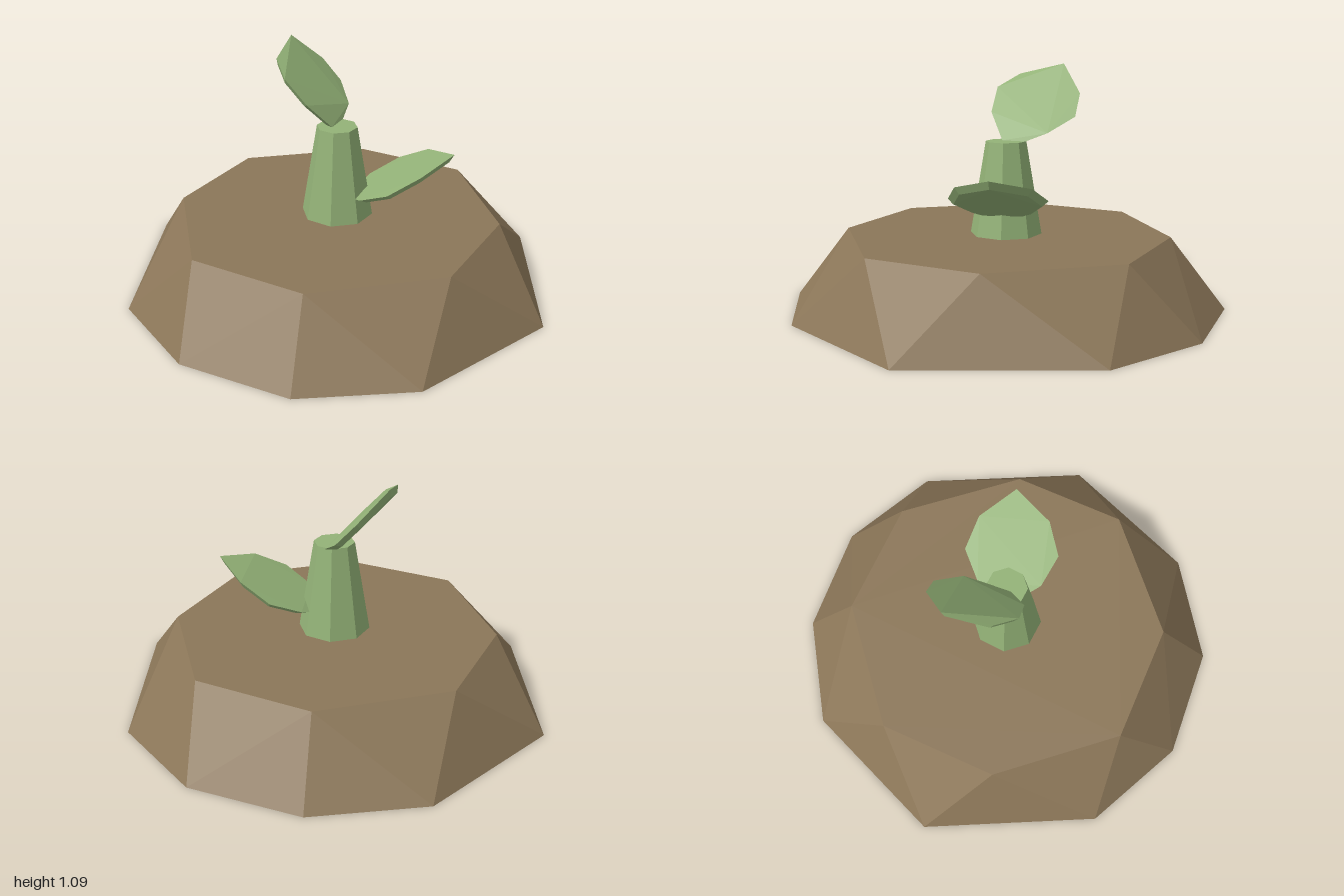
import * as THREE from 'three';
import { ConvexGeometry } from 'three/addons/geometries/ConvexGeometry.js';

const soil = new THREE.MeshStandardMaterial({ color: 0x8b7658, flatShading: true });
const green = new THREE.MeshStandardMaterial({ color: 0x93b277, flatShading: true });
const v = (p) => new THREE.Vector3(...p);

// Faceted mound: solid between a ground outline and a smaller top outline
function makeMound() {
  const base = [[0, -1], [0.5, -0.87], [0.86, -0.51], [0.97, 0.31], [0.5, 0.86],
    [0, 1], [-0.5, 0.86], [-0.86, 0.5], [-0.97, -0.31], [-0.5, -0.87]];
  const top = [[0, -0.75], [0.52, -0.57], [0.75, 0], [0.57, 0.51],
    [0, 0.75], [-0.52, 0.57], [-0.75, 0], [-0.57, -0.52]];
  const ring = (pts, y) => pts.map(([x, z]) => new THREE.Vector3(x, y, z));
  return new THREE.Mesh(new ConvexGeometry([...ring(base, 0), ...ring(top, 0.325)]), soil);
}

// Thin leaf: upper outline plus a slightly inset copy below it
function makeLeaf(outline, normal, thickness) {
  const upper = outline.map(v);
  const centre = upper.reduce((s, p) => s.add(p), new THREE.Vector3()).divideScalar(upper.length);
  const drop = v(normal).normalize().multiplyScalar(-thickness);
  const lower = upper.map((p) => p.clone().lerp(centre, 0.12).add(drop));
  return new THREE.Mesh(new ConvexGeometry([...upper, ...lower]), green);
}

export function createModel() {
  const model = new THREE.Group();
  model.name = 'sprout';
  const add = (name, mesh) => {
    mesh.name = name;
    model.add(mesh);
  };

  add('mound', makeMound());

  // Tapered eight-sided stem
  const stem = new THREE.Mesh(new THREE.CylinderGeometry(0.093, 0.165, 0.43, 8), green);
  stem.position.y = 0.535;
  add('stem', stem);

  // Low leaf on the left side, symmetric about z = 0
  const half = [[0.1, 0.44, 0.1], [0.13, 0.46, 0.15], [0.26, 0.525, 0.22], [0.4, 0.6, 0.165]];
  const mirrored = half.map(([x, y, z]) => [x, y, -z]);
  add('sideLeaf', makeLeaf([...half, ...mirrored, [0.53, 0.65, 0]], [-0.45, 0.89, 0], 0.025));

  // Upright leaf growing from the stem top
  add('topLeaf', makeLeaf([
    [-0.02, 0.75, 0.02], [-0.12, 0.87, 0.085], [-0.22, 0.98, 0.07], [-0.28, 1.04, -0.03],
    [-0.26, 1.09, -0.24], [-0.13, 0.96, -0.325], [-0.04, 0.86, -0.31],
    [0.02, 0.79, -0.19], [0.01, 0.75, -0.09],
  ], [0.74, 0.66, 0.13], 0.025));

  return model;
}
